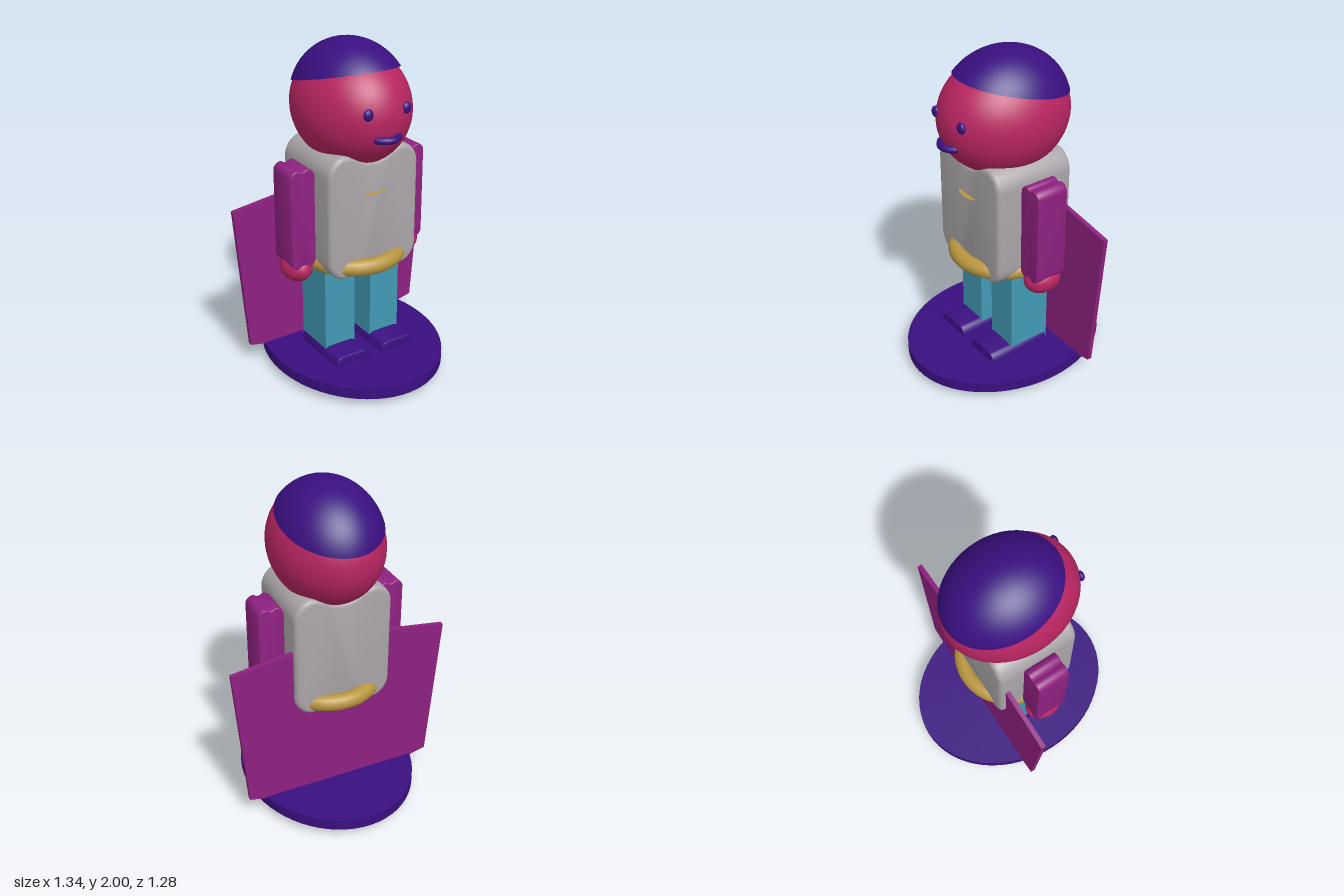
import * as THREE from 'three';
import { toCreasedNormals } from 'three/addons/utils/BufferGeometryUtils.js';

const mat = (name, color) => Object.assign(new THREE.MeshStandardMaterial({ color }), { name });

export function createModel() {
  const purple = mat('deep purple', 0x3a0f80);
  const skin = mat('raspberry', 0xb82562);
  const shirt = mat('warm grey', 0xaaa5a8);
  const magenta = mat('magenta', 0x8f2180);
  const teal = mat('teal', 0x429ab5);
  const gold = mat('gold', 0xb8963f);

  const model = new THREE.Group();
  model.name = 'figurine';

  const add = (name, geo, material, x = 0, y = 0, z = 0) => {
    const mesh = new THREE.Mesh(geo, material);
    mesh.name = name;
    mesh.position.set(x, y, z);
    model.add(mesh);
    return mesh;
  };
  const ellipsoid = (rx, ry, rz, w = 32, h = 20) => new THREE.SphereGeometry(1, w, h).scale(rx, ry, rz);

  // Extrudes an outline along z, centred, with a rounded edge inside the outline
  const slab = (shape, depth, bevel) => {
    const geo = new THREE.ExtrudeGeometry(shape, {
      depth: depth - 2 * bevel, curveSegments: 10, bevelEnabled: bevel > 0,
      bevelSize: bevel, bevelThickness: bevel, bevelOffset: -bevel, bevelSegments: 4,
    });
    geo.translate(0, 0, bevel - depth / 2);
    return toCreasedNormals(geo, 0.6);
  };

  // Soft block outline: two humps at the top and bottom with a dip between them
  const humped = (w, y0, y1, peak, r, dipTop, dipBottom) => {
    const s = new THREE.Shape();
    const c = 0.45;
    const mx = peak * 0.5;
    s.moveTo(w, y0 + r);
    s.lineTo(w, y1 - r);
    s.bezierCurveTo(w, y1 - r * c, peak + (w - peak) * c, y1, peak, y1);
    s.bezierCurveTo(mx, y1, mx, y1 - dipTop, 0, y1 - dipTop);
    s.bezierCurveTo(-mx, y1 - dipTop, -mx, y1, -peak, y1);
    s.bezierCurveTo(-peak - (w - peak) * c, y1, -w, y1 - r * c, -w, y1 - r);
    s.lineTo(-w, y0 + r);
    s.bezierCurveTo(-w, y0 + r * c, -peak - (w - peak) * c, y0, -peak, y0);
    s.bezierCurveTo(-mx, y0, -mx, y0 + dipBottom, 0, y0 + dipBottom);
    s.bezierCurveTo(mx, y0 + dipBottom, mx, y0, peak, y0);
    s.bezierCurveTo(peak + (w - peak) * c, y0, w, y0 + r * c, w, y0 + r);
    return s;
  };

  // Oval base
  const base = add('base', new THREE.CylinderGeometry(1, 1, 0.067, 64), purple, 0, 0.082, 0);
  base.scale.set(0.522, 1, 0.64);

  // Cape: thin plate with a raised top and a pointed hem
  const capeShape = new THREE.Shape([
    [0, 0], [0.597, 0.13], [0.67, 1.035], [0, 1.13], [-0.67, 1.035], [-0.597, 0.13],
  ].map(([x, y]) => new THREE.Vector2(x, y)));
  add('cape', slab(capeShape, 0.028, 0), magenta, 0, 0, -0.207);

  // Torso
  add('torso', slab(humped(0.3, 0.664, 1.417, 0.195, 0.12, 0.06, 0.014), 0.51, 0.03), shirt);

  // Belt: oval ring showing through the torso sides
  const ring = new THREE.TorusGeometry(0.29, 0.05, 16, 64).rotateX(Math.PI / 2);
  const belt = add('belt', ring, gold, 0, 0.727, 0);
  belt.scale.set(0.97, 1, 1);

  // Flat chest ornament, a thin sheet seen from above
  const sheet = new THREE.CircleGeometry(1, 20).rotateX(-Math.PI / 2).scale(0.08, 1, 0.028);
  add('chestOrnament', sheet, gold, 0, 1.17, 0.255);

  // Shoe outline, seen from the front
  const shoeShape = new THREE.Shape();
  shoeShape.moveTo(-0.12, 0.105);
  shoeShape.lineTo(0.12, 0.105);
  shoeShape.quadraticCurveTo(0.115, 0.17, 0.07, 0.172);
  shoeShape.lineTo(-0.07, 0.172);
  shoeShape.quadraticCurveTo(-0.115, 0.17, -0.12, 0.105);

  // Limbs, eyes: mirrored pairs
  for (const [side, sx] of [['left', 1], ['right', -1]]) {
    add(side + 'Leg', new THREE.BoxGeometry(0.204, 0.58, 0.266), teal, sx * 0.158, 0.4, 0);
    add(side + 'Shoe', slab(shoeShape, 0.405, 0.008), purple, sx * 0.16, 0, 0.08);
    add(side + 'Arm', slab(humped(0.077, 0.722, 1.328, 0.034, 0.045, 0.012, 0.012), 0.2, 0.006),
      magenta, sx * 0.376, 0, 0);
    add(side + 'Hand', ellipsoid(0.09, 0.088, 0.116), skin, sx * 0.375, 0.7, 0);
    add(side + 'Eye', ellipsoid(0.03, 0.033, 0.02, 16, 12), purple, sx * 0.123, 1.675, 0.367);
  }

  // Head
  add('head', ellipsoid(0.325, 0.345, 0.4, 48, 32), skin, 0, 1.62, 0);

  // Hair: tilted cap, lower at the back
  const cap = new THREE.SphereGeometry(1, 48, 16, 0, Math.PI * 2, 0, 1.13);
  cap.rotateX(-0.27).scale(0.325, 0.357, 0.392);
  purple.side = THREE.DoubleSide;
  add('hair', cap, purple, 0, 1.643, -0.008);

  // Mouth: curved bar with round ends
  const mouthCurve = new THREE.QuadraticBezierCurve3(
    new THREE.Vector3(-0.068, 1.525, 0.375),
    new THREE.Vector3(0, 1.525, 0.452),
    new THREE.Vector3(0.068, 1.525, 0.375));
  add('mouth', new THREE.TubeGeometry(mouthCurve, 16, 0.02, 12), purple);
  for (const sx of [1, -1]) {
    add('mouthCorner', new THREE.SphereGeometry(0.02, 12, 10), purple, sx * 0.068, 1.525, 0.375);
  }

  return model;
}
